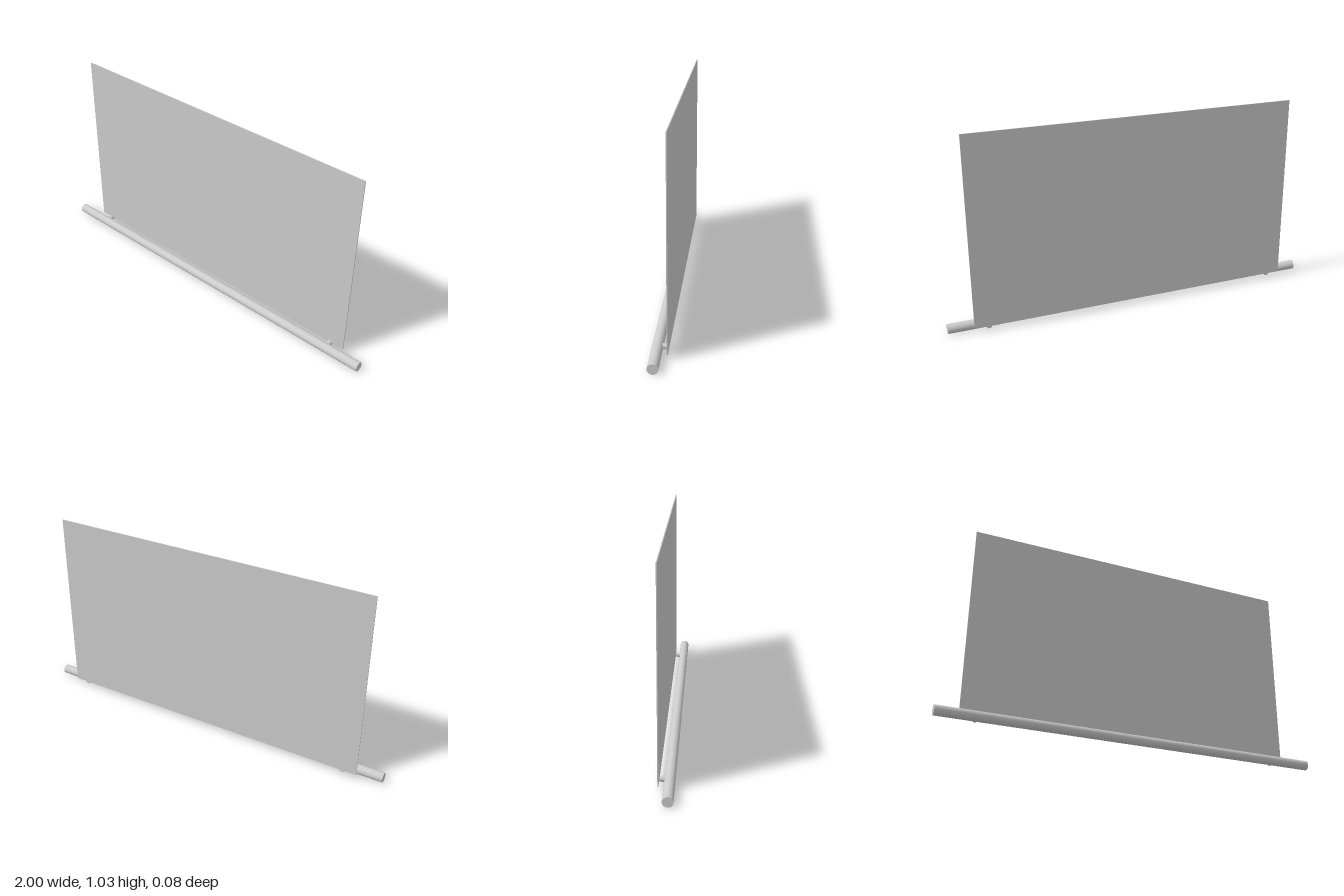
import * as THREE from 'three';

export function createModel() {
  const group = new THREE.Group();
  const material = new THREE.MeshStandardMaterial({ color: 0xcccccc });

  const barRadius = 0.025, barZ = 0.0135, panelZ = -0.036;

  const add = (name, geometry, x, y, z) => {
    const mesh = new THREE.Mesh(geometry, material);
    mesh.name = name;
    mesh.position.set(x, y, z);
    group.add(mesh);
  };

  // Long round bar along the bottom
  add('bar', new THREE.CylinderGeometry(barRadius, barRadius, 2, 48).rotateZ(Math.PI / 2), 0, barRadius, barZ);

  // Thin upright panel behind the bar
  add('panel', new THREE.BoxGeometry(1.75, 1, 0.005), 0, 0.526, panelZ);

  // Two short pegs joining the bar to the panel
  const pegLength = barZ - panelZ;
  for (const [side, name] of [[1, 'leftPeg'], [-1, 'rightPeg']]) {
    const peg = new THREE.CylinderGeometry(0.0135, 0.0135, pegLength, 32).rotateX(Math.PI / 2);
    add(name, peg, side * 0.8, 0.026, (barZ + panelZ) / 2);
  }

  return group;
}
